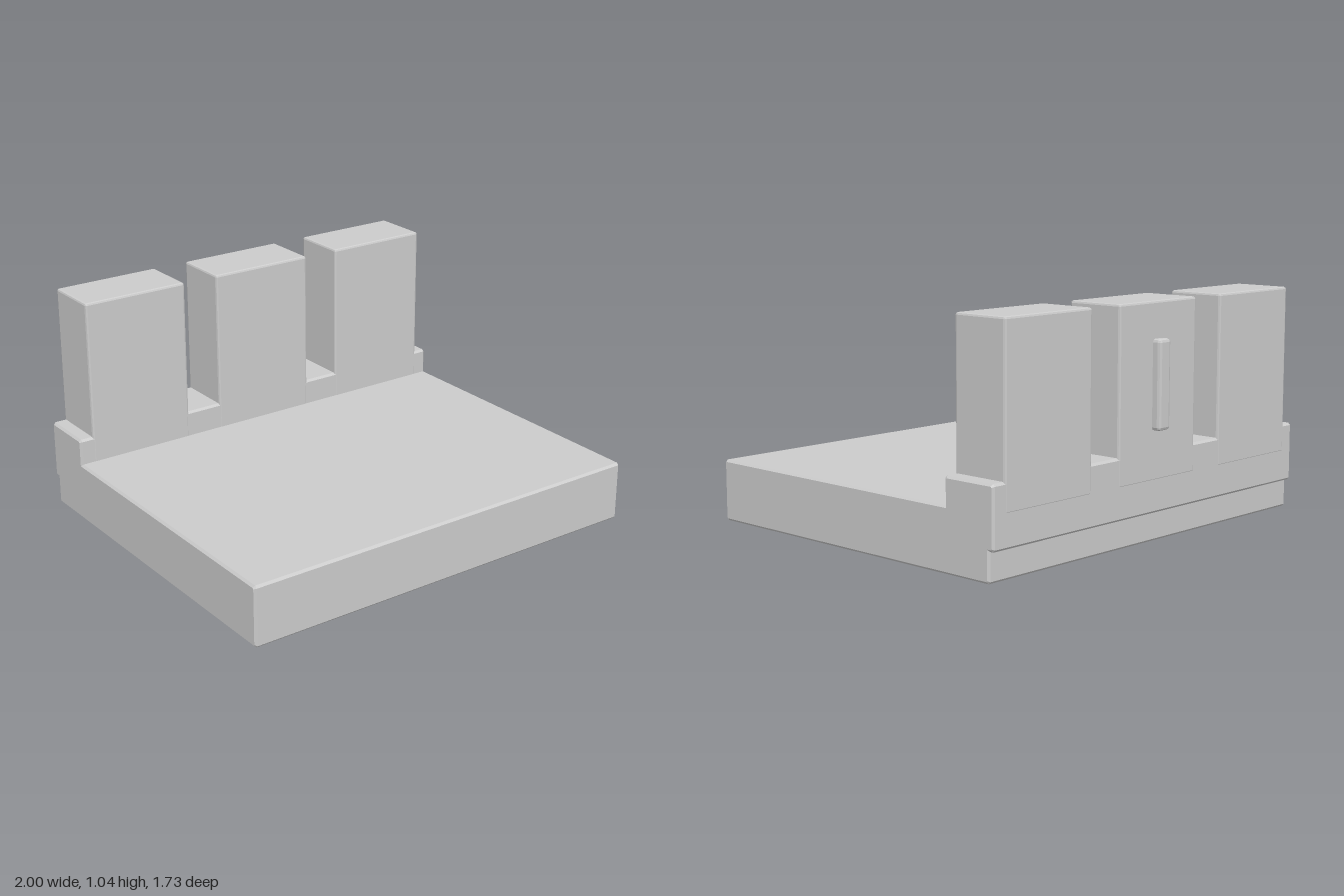
import * as THREE from 'three';
import { RoundedBoxGeometry } from 'three/addons/geometries/RoundedBoxGeometry.js';

const EDGE = 0.01;

// Outline with every outer corner cut by a small chamfer; inner corners stay sharp
function chamferedShape(corners, cut) {
  const pts = corners.map(([x, y]) => new THREE.Vector2(x, y));
  const out = [];
  pts.forEach((p, i) => {
    const a = pts[(i + pts.length - 1) % pts.length].clone().sub(p).normalize();
    const b = pts[(i + 1) % pts.length].clone().sub(p).normalize();
    if (a.cross(b) > 0) out.push(p);
    else out.push(p.clone().addScaledVector(a, cut), p.clone().addScaledVector(b, cut));
  });
  return new THREE.Shape(out);
}

export function createModel() {
  const model = new THREE.Group();
  const material = new THREE.MeshStandardMaterial({ color: 0xcccccc, flatShading: true });

  const add = (name, geometry) => {
    const mesh = new THREE.Mesh(geometry, material);
    mesh.name = name;
    model.add(mesh);
  };

  // Box given by its limits on each axis
  const box = (name, [x0, x1], [y0, y1], [z0, z1], radius = EDGE) => {
    const g = new RoundedBoxGeometry(x1 - x0, y1 - y0, z1 - z0, 1, radius);
    g.translate((x0 + x1) / 2, (y0 + y1) / 2, (z0 + z1) / 2);
    add(name, g);
  };

  // Slab with raised rear ledge and a rebate low on the back, as (z, y) side profile
  const profile = chamferedShape([
    [0.865, 0], [0.865, 0.28], [-0.555, 0.28], [-0.555, 0.4],
    [-0.825, 0.4], [-0.825, 0.13], [-0.8, 0.13], [-0.8, 0],
  ], EDGE);
  const base = new THREE.ExtrudeGeometry(profile, {
    depth: 2 - 2 * EDGE, bevelThickness: EDGE, bevelSize: EDGE, bevelOffset: -EDGE, bevelSegments: 1,
  });
  base.translate(0, 0, -(1 - EDGE)).rotateY(-Math.PI / 2);
  add('base', base);

  // Three upright blocks standing along the ledge
  for (const [name, x] of [['rightBlock', -0.68], ['middleBlock', 0], ['leftBlock', 0.68]]) {
    box(name, [x - 0.255, x + 0.255], [0.27, 1.04], [-0.826, -0.554]);
  }

  // Narrow vertical rib on the back of the middle block
  box('backRib', [-0.038, 0.038], [0.49, 0.88], [-0.865, -0.8], 0.014);

  return model;
}
